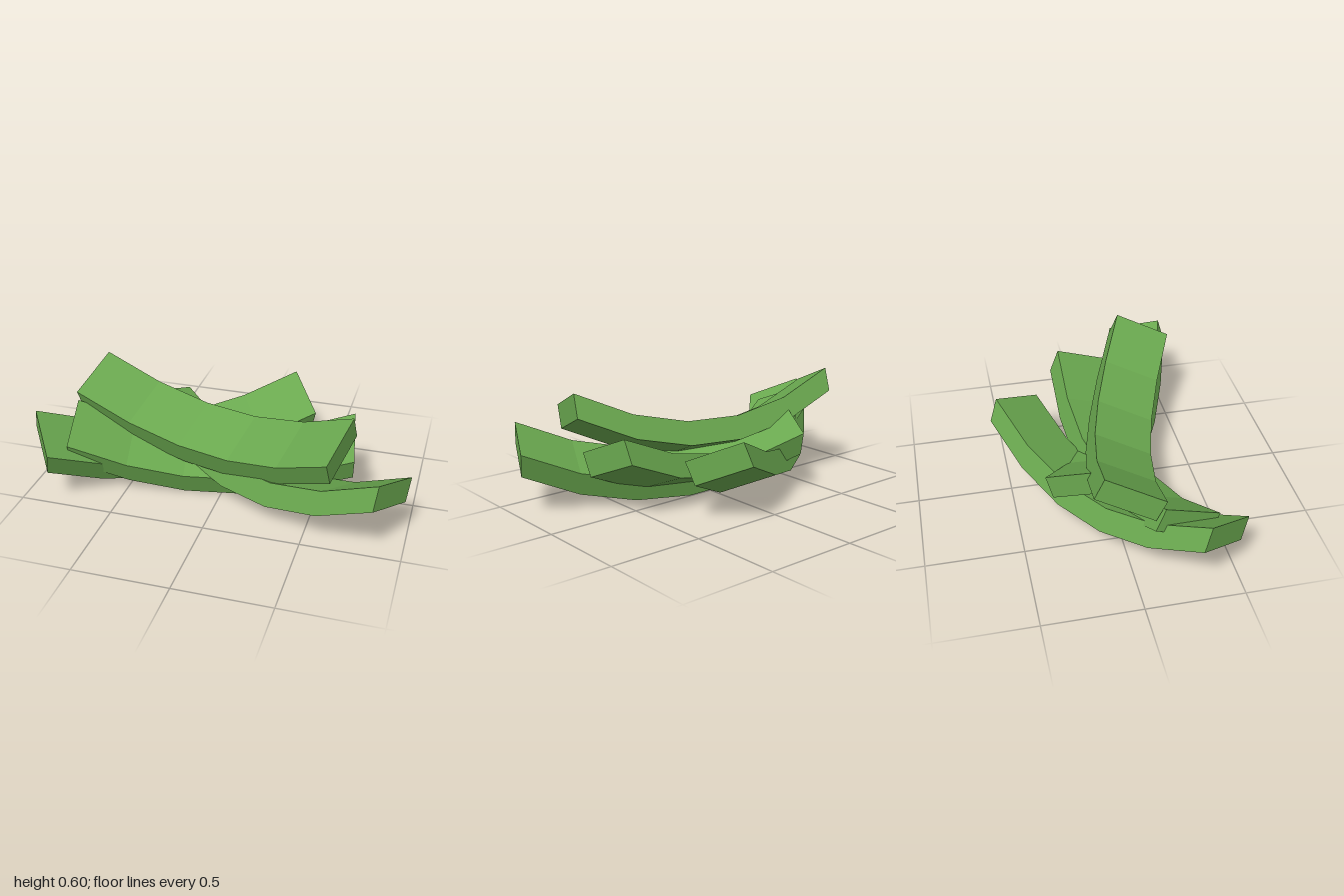
import * as THREE from 'three';

const LENGTH = 1.475, THICK = 0.13, WIDTH = 0.315, BEND = 0.216;

// A slab whose ends curl upward along a parabola
function bentSlab() {
  const geo = new THREE.BoxGeometry(LENGTH, THICK, WIDTH, 5, 1, 1);
  const pos = geo.attributes.position;
  for (let i = 0; i < pos.count; i++) {
    const u = pos.getX(i) / (LENGTH / 2);
    pos.setY(i, pos.getY(i) + BEND * u * u);
  }
  geo.computeVertexNormals();
  return geo;
}

export function createModel() {
  const group = new THREE.Group();
  group.name = 'curvedSlicePile';
  const geo = bentSlab();
  const mat = new THREE.MeshStandardMaterial({ color: 0x6aa84f, flatShading: true });

  // name, centre, tilt about the long axis, heading
  const slices = [
    ['topSlice', [-0.03, 0.283, 0.088], 0.39, -0.26],
    ['frontLeftSlice', [0.228, 0.113, 0.163], -0.3, -0.433],
    ['backSlice', [-0.342, 0.114, -0.075], 0.39, 0.607],
    ['middleSlice', [-0.072, 0.114, 0.047], 0.39, 0.178],
  ];
  for (const [name, centre, tilt, heading] of slices) {
    const mesh = new THREE.Mesh(geo, mat);
    mesh.name = name;
    mesh.position.set(...centre);
    mesh.rotation.set(tilt, heading, 0, 'YXZ');
    group.add(mesh);
  }
  return group;
}
